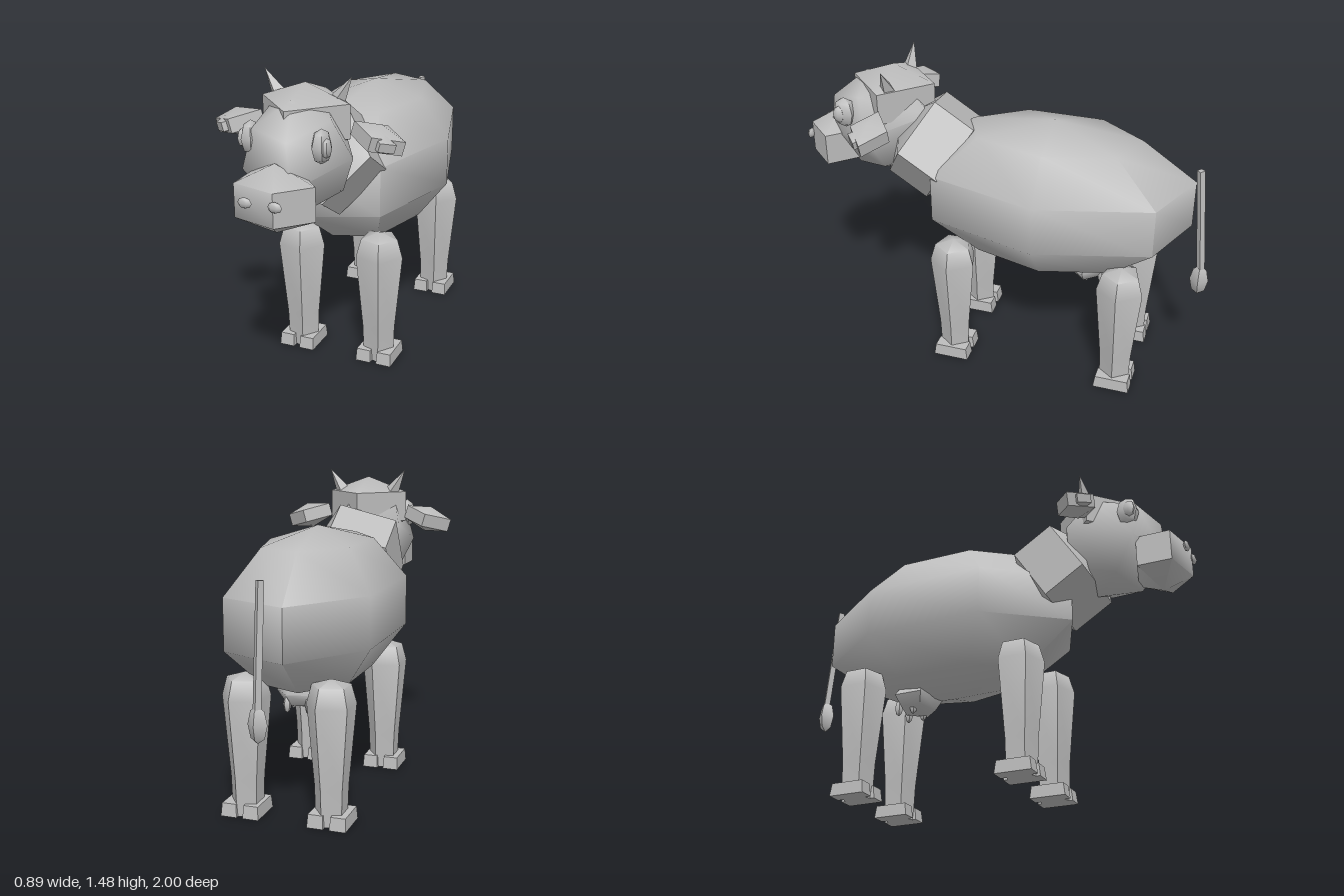
import * as THREE from 'three';
import { toCreasedNormals } from 'three/addons/utils/BufferGeometryUtils.js';

const CREASE = Math.PI / 3;

export function createModel() {
  const cow = new THREE.Group();
  cow.name = 'cow';
  const grey = new THREE.MeshStandardMaterial({ color: 0xbcbcbc });
  grey.name = 'plain grey';

  // Bakes rotation and position into a geometry, then sharpens its hard edges
  function add(name, geo, pos, rot = [0, 0, 0], crease = CREASE) {
    geo.applyMatrix4(new THREE.Matrix4().makeRotationFromEuler(new THREE.Euler(...rot)));
    geo.translate(...pos);
    const mesh = new THREE.Mesh(toCreasedNormals(geo, crease), grey);
    mesh.name = name;
    cow.add(mesh);
    return mesh;
  }

  // Coarse ellipsoid with its first column of corners on +x
  function blob(name, pos, size, w, h, rot, crease) {
    const geo = new THREE.SphereGeometry(1, w, h);
    geo.rotateY(Math.PI);
    geo.scale(...size);
    return add(name, geo, pos, rot, crease);
  }

  // Trunk, neck and head
  blob('body', [0, 0.8875, -0.23], [0.4, 0.378, 0.71], 7, 5);
  blob('neck', [0, 1.05, 0.355], [0.289, 0.22, 0.287], 5, 3, [1.01, 0, 0]);
  blob('head', [0, 1.152, 0.61], [0.24, 0.255, 0.285], 5, 4, [0.32, 0, 0], 1.4);
  blob('poll', [0, 1.29, 0.555], [0.235, 0.15, 0.235], 4, 3);
  blob('muzzle', [0, 1.025, 0.85], [0.208, 0.15, 0.16], 5, 3);

  for (const s of [-1, 1]) {
    const side = s > 0 ? 'left' : 'right';

    // Face details
    blob(side + 'Nostril', [s * 0.067, 1.045, 0.985], [0.032, 0.024, 0.015], 6, 4);
    blob(side + 'Eye', [s * 0.16, 1.235, 0.745], [0.045, 0.075, 0.055], 6, 4);
    blob(side + 'Pupil', [s * 0.19, 1.235, 0.76], [0.022, 0.042, 0.03], 6, 4);

    // Drooping ears with an inner part on the front
    blob(side + 'Ear', [s * 0.323, 1.23, 0.545], [0.138, 0.064, 0.105], 4, 3, [0, 0, -s * 0.28]);
    blob(side + 'InnerEar', [s * 0.362, 1.22, 0.585], [0.064, 0.04, 0.055], 4, 3, [0, 0, -s * 0.28]);

    // Horns
    add(side + 'Horn', new THREE.ConeGeometry(0.042, 0.15, 4),
      [s * 0.163, 1.413, 0.53], [0, 0, -s * 0.55]);

    // Front and rear legs with paired toes
    for (const [end, z] of [['Front', 0.205], ['Rear', -0.62]]) {
      const profile = [[0, 0], [0.074, 0], [0.08, 0.17], [0.115, 0.54], [0.09, 0.627], [0, 0.655]];
      const leg = new THREE.LatheGeometry(profile.map(p => new THREE.Vector2(...p)), 5);
      leg.rotateY(Math.PI / 2);
      add(side + end + 'Leg', leg, [s * 0.2, 0, z]);
      for (const t of [-1, 1]) {
        const toe = new THREE.CylinderGeometry(0.64, 0.7071, 0.06, 4);
        toe.rotateY(Math.PI / 4);
        toe.scale(0.075, 1, 0.175);
        add(side + end + 'Hoof', toe, [s * 0.204 + t * 0.052, 0.03, z]);
      }
    }

    // Teats
    for (const z of [-0.42, -0.5]) {
      blob(side + 'Teat', [s * 0.052, 0.485, z], [0.02, 0.04, 0.02], 5, 4);
    }
  }

  blob('udder', [0, 0.535, -0.42], [0.14, 0.078, 0.12], 5, 4);

  // Tail and its tuft
  add('tail', new THREE.CylinderGeometry(0.019, 0.019, 0.53, 4), [0, 0.85, -0.934], [0.095, 0, 0]);
  blob('tailTuft', [0, 0.53, -0.956], [0.044, 0.082, 0.044], 4, 4);

  return cow;
}
